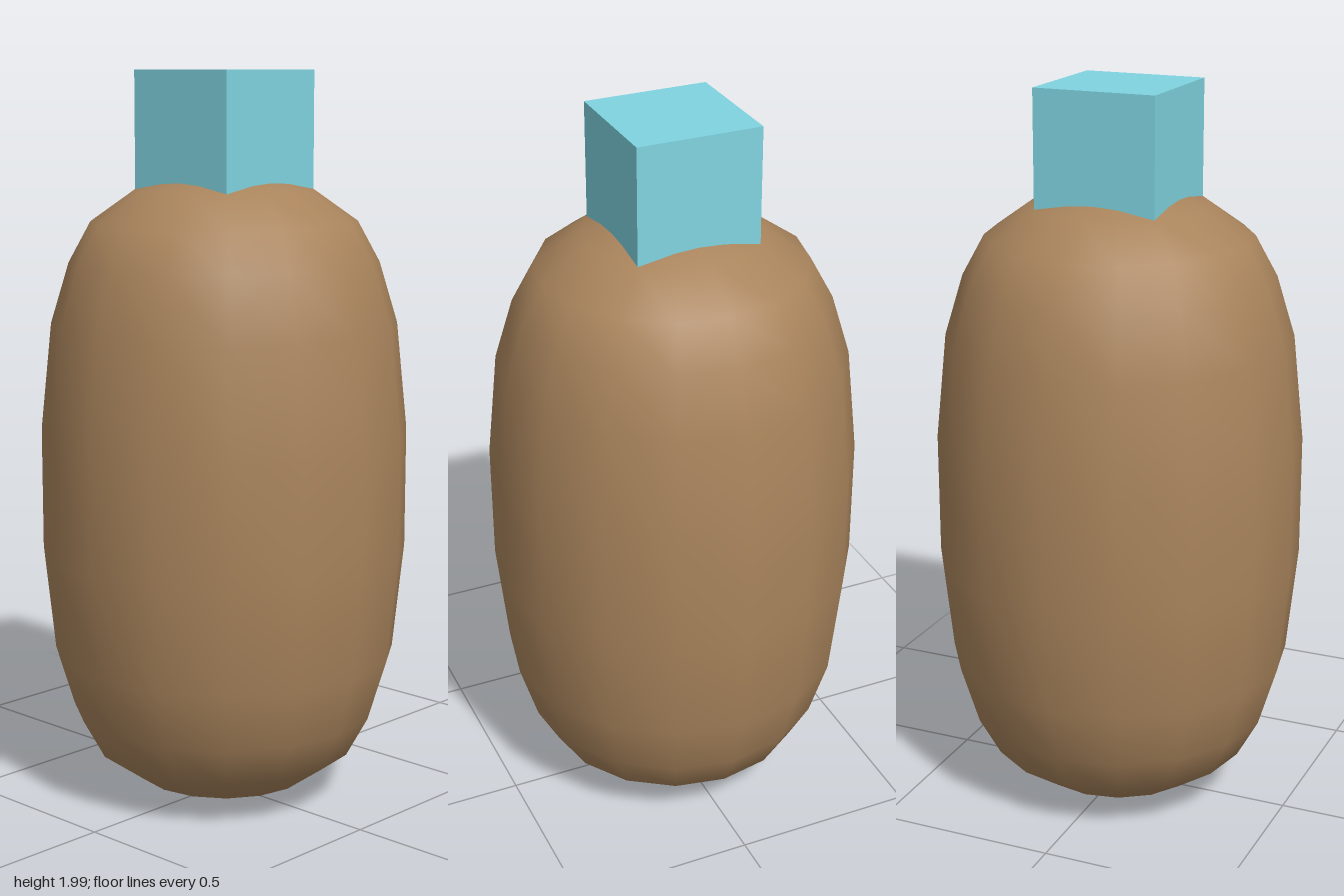
import * as THREE from 'three';

export function createModel() {
  const group = new THREE.Group();
  const brown = new THREE.MeshStandardMaterial({ color: 0xa9845c });
  const blue = new THREE.MeshStandardMaterial({ color: 0x80d4e0 });

  // Rounded body: half profile [radius, height from the middle], mirrored top to bottom
  const middle = 0.87;
  const half = [[0.5, 0.165], [0.47, 0.455], [0.42, 0.62], [0.36, 0.73], [0.24, 0.815], [0.11, 0.855], [0, 0.862]];
  const lower = half.map(([r, h]) => new THREE.Vector2(r, middle - h)).reverse();
  const upper = half.map(([r, h]) => new THREE.Vector2(r, middle + h));
  const body = new THREE.Mesh(new THREE.LatheGeometry([...lower, ...upper], 16), brown);
  body.name = 'body';
  group.add(body);

  // Square cap sunk into the top of the body
  const size = 0.338;
  const cap = new THREE.Mesh(new THREE.BoxGeometry(size, size, size), blue);
  cap.name = 'cap';
  cap.position.y = 2 - size / 2;
  group.add(cap);

  return group;
}
